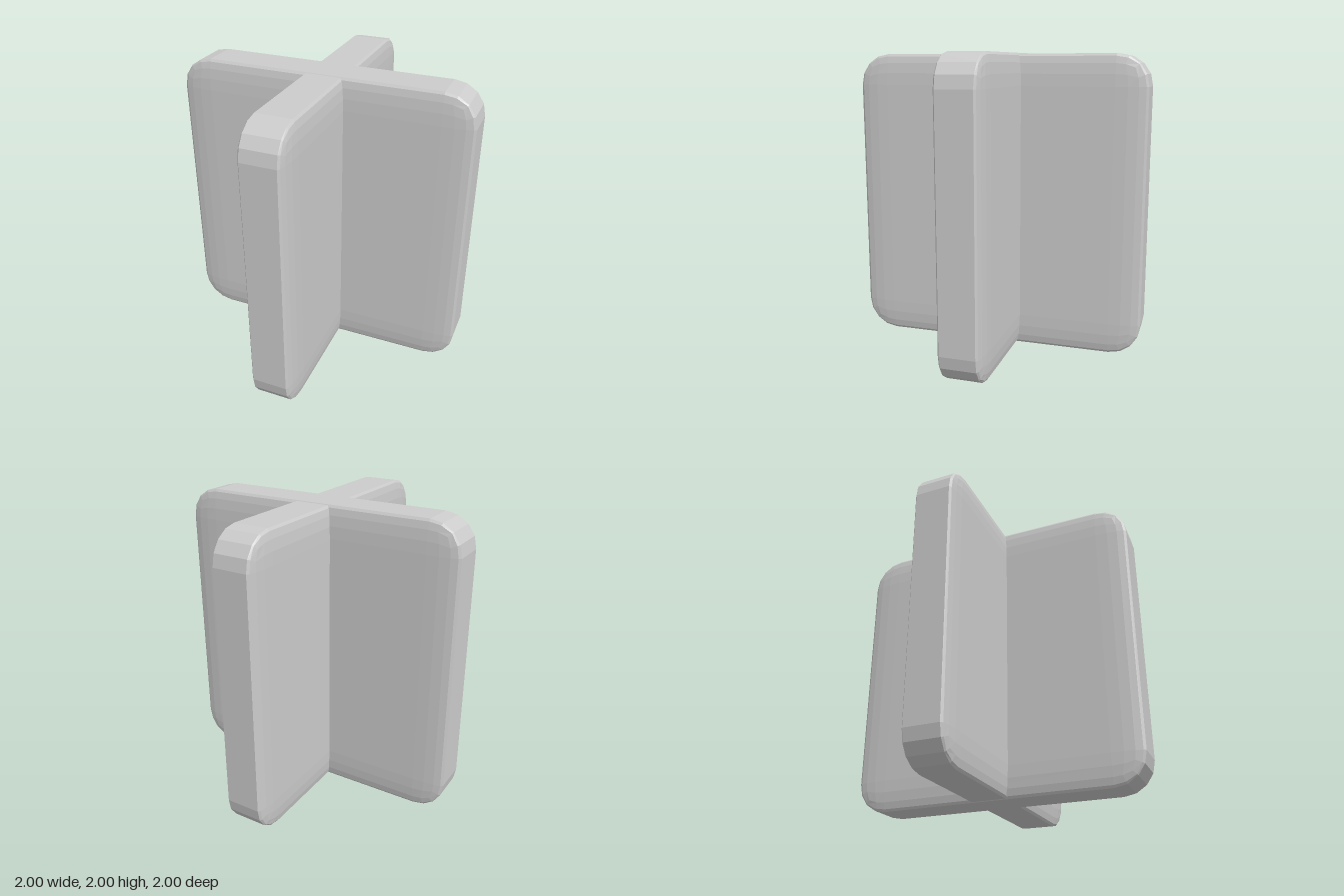
import * as THREE from 'three';

const RADIUS = 0.21;   // corner rounding before the cube is flattened
const HALF = 0.147;    // half thickness of a plate

// Cube with four-step rounded edges, flattened along z into a plate
function plateGeometry() {
  const geo = new THREE.BoxGeometry(2, 2, 2, 5, 5, 5);
  const pos = geo.attributes.position;
  const p = new THREE.Vector3();
  const core = new THREE.Vector3();
  const dir = new THREE.Vector3();
  for (let i = 0; i < pos.count; i++) {
    p.fromBufferAttribute(pos, i);
    for (const axis of ['x', 'y', 'z']) {
      const s = Math.sign(p[axis]);
      core[axis] = s * (1 - RADIUS);
      // even angular steps around each rounded edge
      dir[axis] = s * Math.tan((Math.abs(p[axis]) - 0.2) / 0.8 * Math.PI / 4);
    }
    p.copy(core).addScaledVector(dir.normalize(), RADIUS);
    pos.setXYZ(i, p.x, p.y, p.z);
  }
  geo.scale(1, 0.9975, HALF);
  geo.computeVertexNormals();
  return geo;
}

export function createModel() {
  const group = new THREE.Group();
  group.name = 'crossedPlates';
  const material = new THREE.MeshStandardMaterial({ color: 0xcccccc, flatShading: true });
  const geo = plateGeometry();

  // Plate facing front and back
  const widePlate = new THREE.Mesh(geo, material);
  widePlate.name = 'widePlate';
  widePlate.position.set(0, 1.0025, -0.027);

  // Plate running front to back
  const deepPlate = new THREE.Mesh(geo, material);
  deepPlate.name = 'deepPlate';
  deepPlate.rotation.y = Math.PI / 2;
  deepPlate.position.set(0.015, 0.9975, 0);

  group.add(widePlate, deepPlate);
  return group;
}
